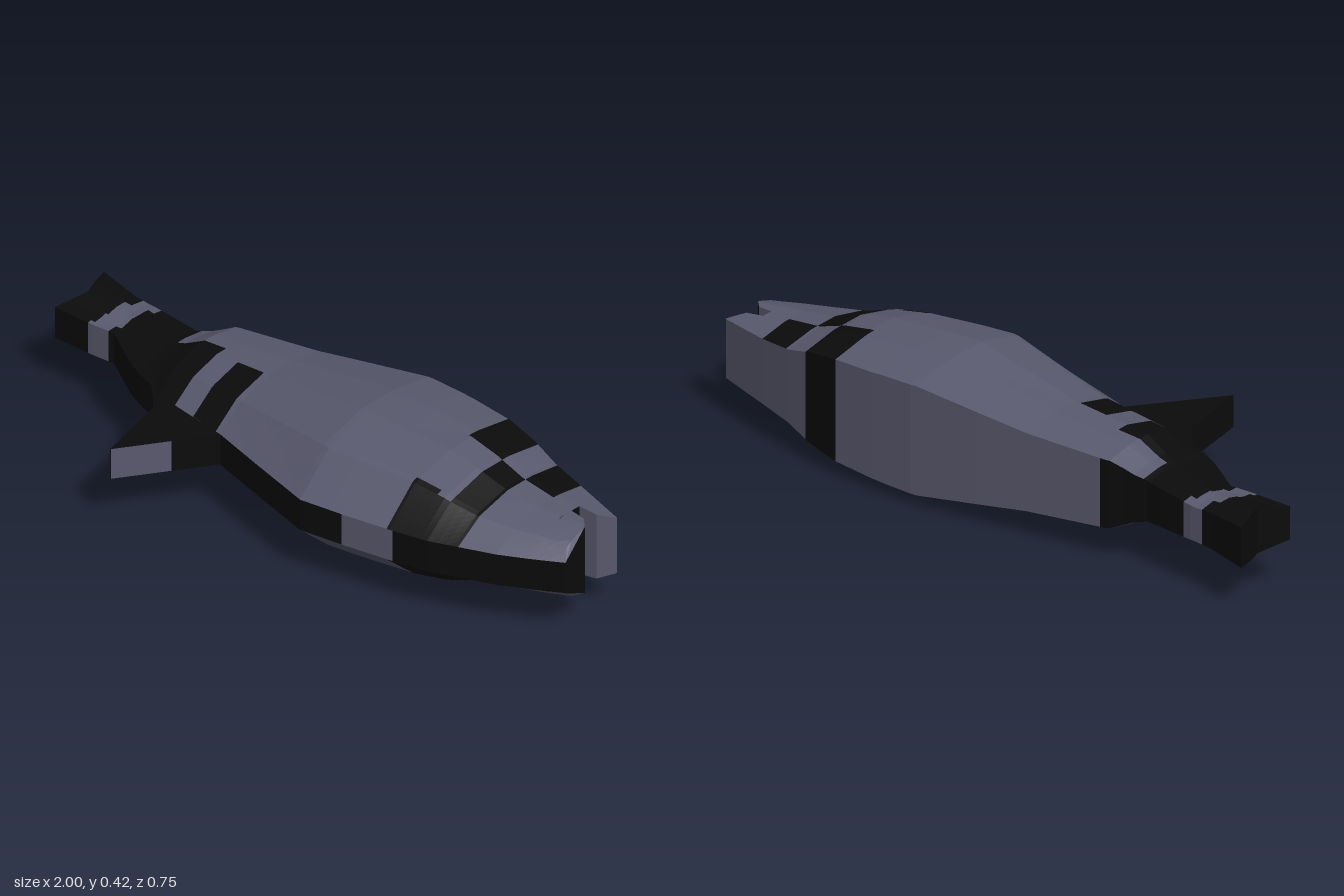
import * as THREE from 'three';

const CENTRE = 0.21;

// piecewise-linear lookup in rows [x, a, b, ...]
function lookup(rows, x, col = 1) {
  if (x <= rows[0][0]) return rows[0][col];
  for (let i = 1; i < rows.length; i++) {
    if (x <= rows[i][0]) {
      const p = rows[i - 1], q = rows[i];
      return p[col] + (q[col] - p[col]) * (x - p[0]) / (q[0] - p[0]);
    }
  }
  return rows[rows.length - 1][col];
}

// body outline: x, upper edge z, lower edge z
const OUTLINE = [
  [-1, -0.1, -0.32], [-0.86, -0.1, -0.29], [-0.78, -0.105, -0.285], [-0.65, -0.02, -0.265],
  [-0.59, 0.01, -0.255], [-0.52, 0.035, -0.275], [-0.47, 0.06, -0.295], [-0.2, 0.105, -0.33],
  [-0.03, 0.155, -0.35], [0.2, 0.22, -0.375], [0.35, 0.2, -0.375], [0.5, 0.175, -0.365],
  [0.62, 0.15, -0.345], [0.7, 0.12, -0.328], [0.82, 0.075, -0.3], [0.9, 0.035, -0.278], [1, -0.02, -0.25]];

// half thickness along the length
const GIRTH = [
  [-1, 0.078], [-0.8, 0.065], [-0.6, 0.076], [-0.55, 0.092], [-0.48, 0.13], [-0.2, 0.15],
  [0.18, 0.21], [0.3, 0.207], [0.5, 0.195], [0.6, 0.175], [0.7, 0.14], [0.82, 0.125], [1, 0.113]];

// cross-section, from the narrow back ridge to the broad flat belly
function halfHeight(x, z) {
  const zf = lookup(OUTLINE, x, 1), zb = lookup(OUTLINE, x, 2), h = lookup(GIRTH, x);
  const section = [[0, 0.052], [0.22, 0.81 * h], [0.5, h], [0.737, 0.976 * h], [1, 0.83 * h]];
  return lookup(section, (zf - z) / (zf - zb));
}

// colour pattern: true where the skin is black
function isBlack(x, z, face) {
  const within = (a, b) => x > a && x < b;
  if (face === 'ridge' && x > -0.75) return !(within(-0.39, -0.285) || within(0.34, 0.51));
  if (Math.abs(x + 0.81 + 0.25 * (z + 0.2)) < 0.036) return false;
  if (face === 'belly') return x < -0.45 || within(0.49, 0.62);
  if (x < -0.58) return true;
  if (x < -0.4) return z > -0.15;
  if (within(-0.32, -0.22)) return z > -0.11;
  if (within(0.49, 0.62)) return z < -0.19 || z > 0.04;
  if (within(0.62, 0.71)) return z > -0.19;
  if (within(0.71, 0.82)) return z < -0.18;
  return false;
}

const CUTS = [-0.58, -0.45, -0.4, -0.39, -0.32, -0.285, -0.22, 0.34, 0.49, 0.51, 0.62, 0.71, 0.82];

// loft a solid between an upper and lower edge along x; split faces by colour
function loft(name, edges, materials, rows, height, black, capBlack = () => true) {
  const x0 = edges[0][0], x1 = edges[edges.length - 1][0];
  const xs = [...edges.map(e => e[0]), ...GIRTH.map(g => g[0]), ...CUTS];
  for (let x = -1; x < 1; x += 0.025) xs.push(x);
  const stations = xs.filter(x => x >= x0 && x <= x1).sort((a, b) => a - b)
    .filter((x, i, all) => i === 0 || x - all[i - 1] > 0.0005);

  const rings = stations.map(x => {
    const zf = lookup(edges, x, 1), zb = lookup(edges, x, 2);
    const up = [], low = [];
    for (let i = 0; i <= rows; i++) {
      const z = zf + (zb - zf) * i / rows, h = height(x, z);
      up.push([x, CENTRE + h, z]);
      low.push([x, CENTRE - h, z]);
    }
    return { up, low };
  });

  const lists = [[], []];
  const quad = (a, b, c, d, dark) => lists[dark ? 1 : 0].push(...a, ...b, ...c, ...a, ...c, ...d);
  for (let s = 0; s + 1 < rings.length; s++) {
    const p = rings[s], q = rings[s + 1];
    const x = (stations[s] + stations[s + 1]) / 2;
    quad(p.low[0], q.low[0], q.up[0], p.up[0], black(x, (p.up[0][2] + q.up[0][2]) / 2, 'ridge'));
    quad(p.up[rows], q.up[rows], q.low[rows], p.low[rows], black(x, p.up[rows][2], 'belly'));
    for (let i = 0; i < rows; i++) {
      const dark = black(x, (p.up[i][2] + q.up[i + 1][2]) / 2, 'side');
      quad(p.up[i], q.up[i], q.up[i + 1], p.up[i + 1], dark);
      quad(p.low[i + 1], q.low[i + 1], q.low[i], p.low[i], dark);
    }
  }
  // end caps
  const a = rings[0], b = rings[rings.length - 1];
  for (let i = 0; i < rows; i++) {
    quad(a.up[i], a.up[i + 1], a.low[i + 1], a.low[i], capBlack(x0));
    quad(b.up[i + 1], b.up[i], b.low[i], b.low[i + 1], capBlack(x1));
  }

  const geometry = new THREE.BufferGeometry();
  geometry.setAttribute('position', new THREE.Float32BufferAttribute([...lists[0], ...lists[1]], 3));
  geometry.addGroup(0, lists[0].length / 3, 0);
  geometry.addGroup(lists[0].length / 3, lists[1].length / 3, 1);
  geometry.computeVertexNormals();
  const mesh = new THREE.Mesh(geometry, materials);
  mesh.name = name;
  return mesh;
}

export function createModel() {
  const group = new THREE.Group();
  group.name = 'fish';
  const grey = new THREE.MeshStandardMaterial({ color: 0x59596e, flatShading: true });
  grey.name = 'slate grey skin';
  const dark = new THREE.MeshStandardMaterial({ color: 0x0b0b0b, flatShading: true });
  dark.name = 'black skin';
  const skins = [grey, dark];

  // body, between the tail notch and the back of the mouth
  const middle = OUTLINE.filter(r => r[0] > -0.96 && r[0] <= 0.9);
  middle.unshift([-0.96, -0.1, lookup(OUTLINE, -0.96, 2)]);
  group.add(loft('body', middle, skins, 28, halfHeight, isBlack));

  // tail lobes
  group.add(loft('upperTailLobe', [[-1, -0.1, -0.104], [-0.96, -0.1, -0.2]],
    skins, 4, halfHeight, () => true));
  group.add(loft('lowerTailLobe', [[-1, -0.316, -0.32], [-0.96, -0.2, lookup(OUTLINE, -0.96, 2)]],
    skins, 4, halfHeight, () => true));

  // jaws either side of the open mouth
  const snoutBlack = (x, z, face) => face !== 'side' && !(face === 'belly' && x < 0.95);
  group.add(loft('upperJaw', [[0.9, 0.035, -0.165], [0.95, 0.008, -0.16], [0.98, -0.009, -0.13], [1, -0.02, -0.025]],
    skins, 6, halfHeight, snoutBlack));
  group.add(loft('lowerJaw', [[0.9, -0.2, -0.278], [0.96, -0.205, -0.261], [1, -0.246, -0.25]],
    skins, 6, halfHeight, () => false, x => x < 0.95));

  // back fin
  const finBlack = (x, z, face) => face !== 'ridge' || isBlack(x, z, face);
  group.add(loft('backFin', [[-0.52, 0.035, -0.02], [-0.44, 0.12, 0], [-0.392, 0.37, 0], [-0.2, 0.105, 0.06]],
    skins, 2, () => 0.051, finBlack));

  return group;
}
